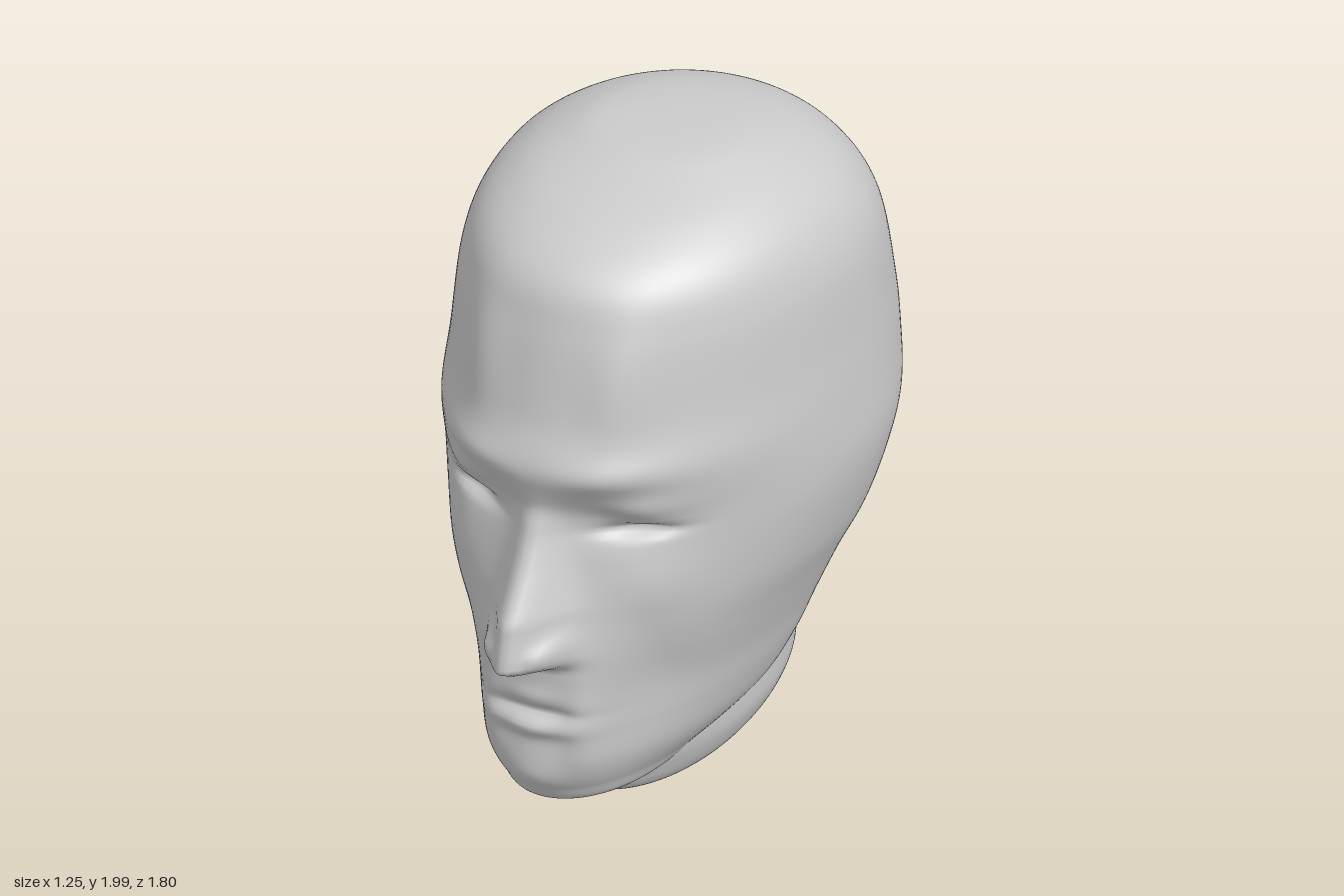
import * as THREE from 'three';

const SIDES = 160;
const bump = (v, centre, size) => Math.exp(-(((v - centre) / size) ** 2));
const step = THREE.MathUtils.smoothstep;
const clamp = THREE.MathUtils.clamp;

// Smoothly interpolated row of a section table, t from 0 to 1
function sampleRow(rows, t) {
  const n = rows.length - 1;
  const i = Math.min(Math.floor(t * n), n - 1);
  const f = t * n - i;
  const at = k => rows[clamp(k, 0, n)];
  return rows[0].map((_, k) => {
    const [p, a, b, q] = [at(i - 1)[k], at(i)[k], at(i + 1)[k], at(i + 2)[k]];
    const m0 = (b - p) / 2, m1 = (q - a) / 2;
    return a + f * (m0 + f * (3 * (b - a) - 2 * m0 - m1 + f * (2 * (a - b) + m0 + m1)));
  });
}

// Closed rings from top to bottom; each row is [y, front z, back z, half width, z of widest point]
function loft(rows, count, shape) {
  const positions = [], index = [];
  for (let i = 0; i <= count; i++) {
    const [y, front, back, width, mid] = sampleRow(rows, i / count);
    for (let j = 0; j < SIDES; j++) {
      const angle = (j / SIDES) * Math.PI * 2;
      const c = Math.cos(angle);
      const p = new THREE.Vector3(width * Math.sin(angle), y, mid + c * (c > 0 ? front - mid : mid - back));
      shape(p, c);
      positions.push(p.x, p.y, p.z);
      if (i === count) continue;
      const a = i * SIDES + j, b = i * SIDES + (j + 1) % SIDES;
      index.push(a, a + SIDES, b, b, a + SIDES, b + SIDES);
    }
  }
  const geometry = new THREE.BufferGeometry();
  geometry.setAttribute('position', new THREE.Float32BufferAttribute(positions, 3));
  geometry.setIndex(index);
  geometry.computeVertexNormals();
  return geometry;
}

// Forward relief of the face at a given point
function faceRelief(x, y) {
  const ax = Math.abs(x);
  // nose: ridge widening downward, cut off underneath, with nostril wings
  const t = clamp((1.12 - y) / 0.32, 0, 1);
  const noseMask = step(y, 0.595, 0.655) * (1 - step(y, 1.06, 1.2));
  let d = (0.02 + 0.155 * t) * noseMask * bump(x, 0, 0.055 + 0.04 * t);
  d += 0.055 * bump(ax, 0.095, 0.035) * bump(y, 0.69, 0.045) * noseMask;
  // brow, eye socket, closed lid and the slit below it
  d += 0.02 * bump(ax, 0.24, 0.15) * bump(y, 1.25, 0.05);
  d -= 0.045 * bump(ax, 0.22, 0.13) * bump(y, 1.09, 0.09);
  d += 0.035 * bump(ax, 0.28, 0.1) * bump(y, 1.12, 0.05);
  d -= 0.045 * bump(ax, 0.27, 0.09) * bump(y, 1.04, 0.018);
  // forehead plane, cheekbone and cheek hollow
  d += 0.025 * bump(ax, 0.23, 0.09) * bump(y, 1.52, 0.2);
  d += 0.02 * bump(ax, 0.33, 0.1) * bump(y, 0.87, 0.11);
  d -= 0.03 * bump(ax, 0.31, 0.07) * bump(y, 0.55, 0.17);
  // muzzle, lips and chin
  d += 0.03 * bump(ax, 0.16, 0.06) * bump(y, 0.4, 0.17);
  d += 0.025 * bump(x, 0, 0.13) * bump(y, 0.395, 0.028);
  d -= 0.022 * bump(x, 0, 0.13) * bump(y, 0.446, 0.018);
  d += 0.01 * bump(x, 0, 0.1) * bump(y, 0.5, 0.03);
  d += 0.012 * bump(x, 0, 0.12) * bump(y, 0.22, 0.05);
  return d;
}

export function createModel() {
  const group = new THREE.Group();
  const material = new THREE.MeshStandardMaterial({ color: 0xcccccc, side: THREE.DoubleSide });
  const add = (name, geometry) => {
    const mesh = new THREE.Mesh(geometry, material);
    mesh.name = name;
    group.add(mesh);
  };

  // skull, face and jaw
  const headRows = [
    [2.0, -0.1, -0.1, 0, -0.1],
    [1.993, 0.06, -0.25, 0.19, -0.1],
    [1.965, 0.18, -0.43, 0.3, -0.12],
    [1.9, 0.4, -0.6, 0.42, -0.14],
    [1.8, 0.56, -0.72, 0.52, -0.17],
    [1.65, 0.625, -0.81, 0.58, -0.2],
    [1.4, 0.685, -0.875, 0.605, -0.22],
    [1.24, 0.735, -0.895, 0.617, -0.22],
    [1.08, 0.685, -0.885, 0.625, -0.22],
    [0.95, 0.68, -0.845, 0.61, -0.2],
    [0.78, 0.71, -0.765, 0.565, -0.17],
    [0.64, 0.735, -0.67, 0.505, -0.13],
    [0.5, 0.73, -0.59, 0.45, -0.1],
    [0.38, 0.725, -0.53, 0.41, -0.05],
    [0.27, 0.73, -0.42, 0.36, 0.02],
    [0.18, 0.7, -0.2, 0.28, 0.16],
    [0.115, 0.64, 0.1, 0.2, 0.32],
    [0.1, 0.46, 0.46, 0, 0.46],
  ];
  add('head', loft(headRows, 170, (p, c) => {
    p.z += faceRelief(p.x, p.y) * clamp(c * 2, 0, 1) * step(p.y, 0.1, 0.2);
  }));

  // neck: rings tilted down toward the front, closed underneath
  const neckRows = [
    [0.6, 0.4, -0.62, 0.39, -0.1],
    [0.45, 0.46, -0.575, 0.38, -0.1],
    [0.3, 0.47, -0.56, 0.362, -0.1],
    [0.17, 0.43, -0.56, 0.348, -0.1],
    [0.07, 0.37, -0.505, 0.28, -0.08],
    [0.065, 0.2, -0.3, 0.16, -0.05],
    [0.065, -0.05, -0.05, 0, -0.05],
  ];
  add('neck', loft(neckRows, 60, p => { p.y = Math.max(0, p.y - 0.165 * p.z); }));

  return group;
}
